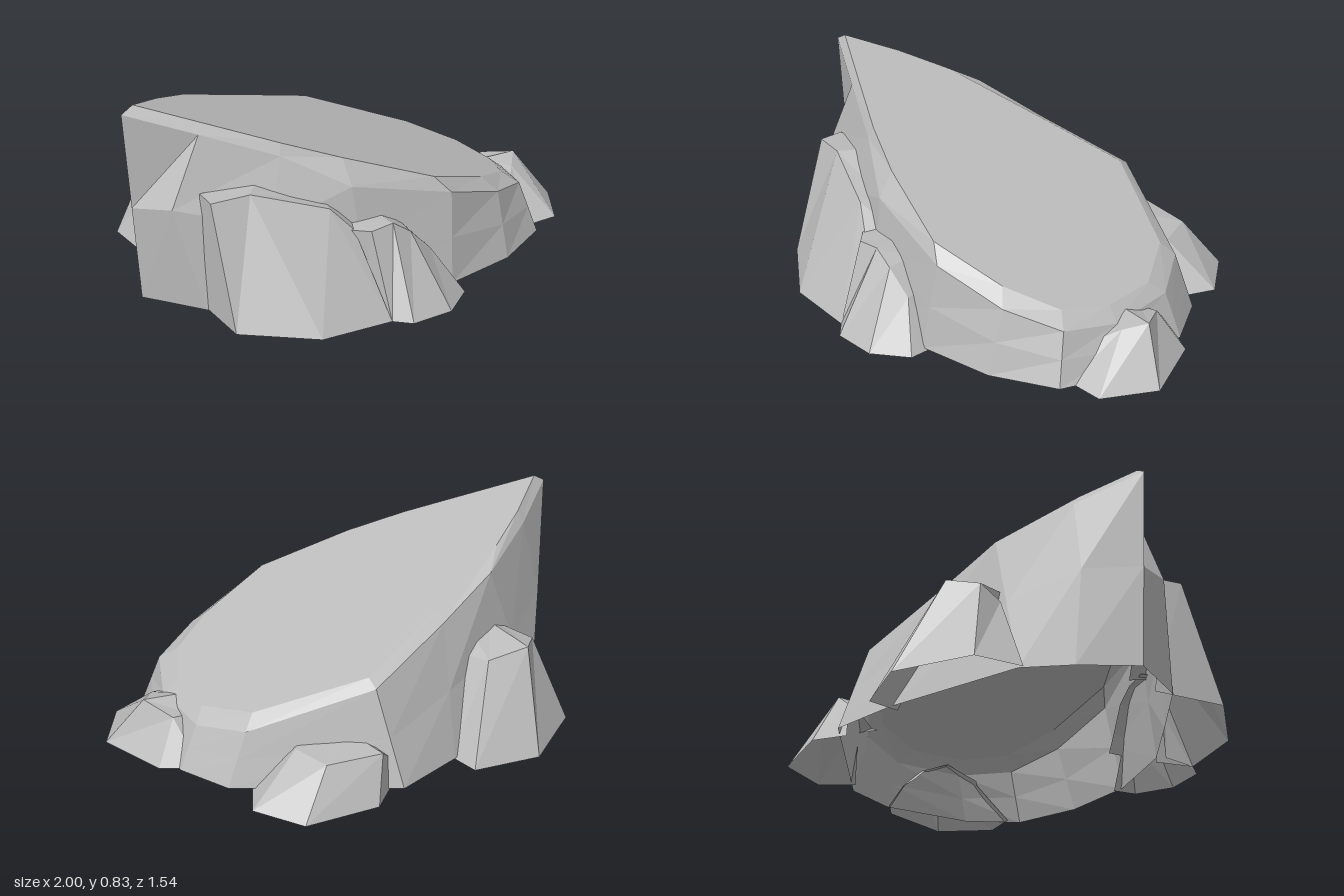
import * as THREE from 'three';

const stone = new THREE.MeshStandardMaterial({ color: 0xbcbcbc, side: THREE.DoubleSide });
stone.name = 'grey stone';

// Skins a stack of equally long point rings with flat facets
function skin(name, rings, closed) {
  const pos = [];
  const tri = (...pts) => pts.forEach(p => pos.push(...p));
  const n = rings[0].length;
  for (let r = 0; r < rings.length - 1; r++) {
    for (let i = 0; i < (closed ? n : n - 1); i++) {
      const j = (i + 1) % n;
      const a = rings[r][i], b = rings[r][j], c = rings[r + 1][j], d = rings[r + 1][i];
      tri(a, b, c);
      tri(a, c, d);
    }
  }
  // Fan over the top of a closed stack
  const top = rings[rings.length - 1];
  if (closed) for (let i = 1; i < n - 1; i++) tri(top[0], top[i], top[i + 1]);
  const geo = new THREE.BufferGeometry();
  geo.setAttribute('position', new THREE.Float32BufferAttribute(pos, 3));
  geo.computeVertexNormals();
  const mesh = new THREE.Mesh(geo, stone);
  mesh.name = name;
  return mesh;
}

// Main rock outlines, from the high tip round the front, right and back
const slope = [
  [-0.95, 0.02], [-0.72, 0.15], [-0.47, 0.29], [-0.25, 0.39], [0.11, 0.50], [0.41, 0.42], [0.61, 0.30],
  [0.69, 0.11], [0.69, -0.12], [0.57, -0.33], [0.165, -0.53], [-0.22, -0.39], [-0.59, -0.25], [-0.77, -0.13],
];
const rim = [
  [-1, 0.80, 0.02], [-0.75, 0.71, 0.16], [-0.48, 0.61, 0.31], [-0.25, 0.48, 0.46], [0.17, 0.38, 0.54],
  [0.46, 0.28, 0.47], [0.67, 0.22, 0.35], [0.75, 0.19, 0.13], [0.74, 0.19, -0.17], [0.62, 0.23, -0.37],
  [0.16, 0.40, -0.58], [-0.22, 0.53, -0.45], [-0.5, 0.64, -0.35], [-0.78, 0.72, -0.16],
];
const foot = [
  [-0.95, 0.02], [-0.79, 0.25], [-0.5, 0.4], [-0.22, 0.54], [0.14, 0.60], [0.46, 0.55], [0.72, 0.42],
  [0.82, 0.20], [0.82, -0.18], [0.71, -0.39], [0.11, -0.72], [-0.18, -0.63], [-0.72, -0.37], [-0.84, -0.2],
];
// Columns that bulge halfway up
const bulge = { 1: [-0.88, 0.43, 0.17], 2: [-0.56, 0.35, 0.36], 13: [-0.86, 0.4, -0.18] };

// Boulders: each column is [foot, front of top, back of top], left to right seen from outside
const boulders = {
  frontTallBoulder: [
    [[-0.78, 0.01, 0.18], [-0.78, 0.49, 0.21], [-0.6, 0.5, 0.2]],
    [[-0.79, 0.01, 0.48], [-0.79, 0.49, 0.31], [-0.76, 0.49, 0.21]],
    [[-0.53, 0, 0.68], [-0.64, 0.505, 0.35], [-0.57, 0.51, 0.27]],
    [[-0.23, 0, 0.71], [-0.36, 0.42, 0.47], [-0.33, 0.42, 0.38]],
    [[-0.2, 0, 0.55], [-0.28, 0.33, 0.52], [-0.22, 0.33, 0.42]],
  ],
  frontSmallBoulder: [
    [[-0.26, 0, 0.56], [-0.31, 0.33, 0.50], [-0.28, 0.34, 0.44]],
    [[-0.23, 0, 0.71], [-0.24, 0.335, 0.58], [-0.24, 0.34, 0.45]],
    [[-0.17, 0, 0.77], [-0.14, 0.345, 0.58], [-0.14, 0.345, 0.47]],
    [[0.01, 0, 0.77], [-0.06, 0.29, 0.585], [-0.05, 0.30, 0.48]],
    [[0.15, 0, 0.67], [0.04, 0.19, 0.58], [0.04, 0.2, 0.5]],
    [[0.16, 0, 0.57], [0.08, 0.13, 0.56], [0.08, 0.13, 0.5]],
  ],
  rightBoulder: [
    [[0.72, 0.01, 0.36], [0.73, 0.15, 0.21], [0.68, 0.15, 0.18]],
    [[0.87, 0.01, 0.36], [0.79, 0.19, 0.15], [0.70, 0.19, 0.10]],
    [[1, 0.01, 0.155], [0.86, 0.215, 0.07], [0.70, 0.21, 0.05]],
    [[0.89, 0.01, -0.13], [0.79, 0.18, -0.06], [0.71, 0.17, -0.05]],
    [[0.80, 0.01, -0.18], [0.77, 0.1, -0.13], [0.72, 0.12, -0.1]],
  ],
  backRightBoulder: [
    [[0.62, 0, -0.42], [0.47, 0.17, -0.48], [0.40, 0.17, -0.42]],
    [[0.69, 0, -0.56], [0.47, 0.18, -0.50], [0.42, 0.18, -0.44]],
    [[0.56, 0, -0.75], [0.42, 0.18, -0.66], [0.34, 0.19, -0.52]],
    [[0.25, 0, -0.77], [0.19, 0.18, -0.69], [0.24, 0.2, -0.54]],
    [[0.14, 0, -0.67], [0.15, 0.14, -0.66], [0.18, 0.16, -0.54]],
  ],
  backLeftBoulder: [
    [[-0.18, 0, -0.60], [-0.33, 0.36, -0.46], [-0.36, 0.37, -0.36]],
    [[-0.21, 0, -0.73], [-0.37, 0.37, -0.555], [-0.40, 0.41, -0.38]],
    [[-0.49, 0, -0.77], [-0.54, 0.40, -0.58], [-0.50, 0.42, -0.36]],
    [[-0.76, 0, -0.57], [-0.63, 0.37, -0.48], [-0.56, 0.39, -0.35]],
    [[-0.76, 0, -0.37], [-0.60, 0.33, -0.38], [-0.54, 0.34, -0.32]],
  ],
};

export function createModel() {
  const group = new THREE.Group();
  group.name = 'rockFormation';

  // Sloping main rock
  const base = foot.map(([x, z]) => [x, 0.01, z]);
  const middle = rim.map((p, i) => bulge[i] || p.map((v, k) => (v + base[i][k]) / 2));
  const top = slope.map(([x, z]) => [x, 0.488 - 0.36 * x, z]);
  group.add(skin('mainRock', [base, middle, rim, top], true));

  // Boulders leaning on its sides
  for (const [name, columns] of Object.entries(boulders)) {
    const rings = [0, 1, 2].map(r => columns.map(c => c[r]));
    group.add(skin(name, rings, false));
  }
  return group;
}
